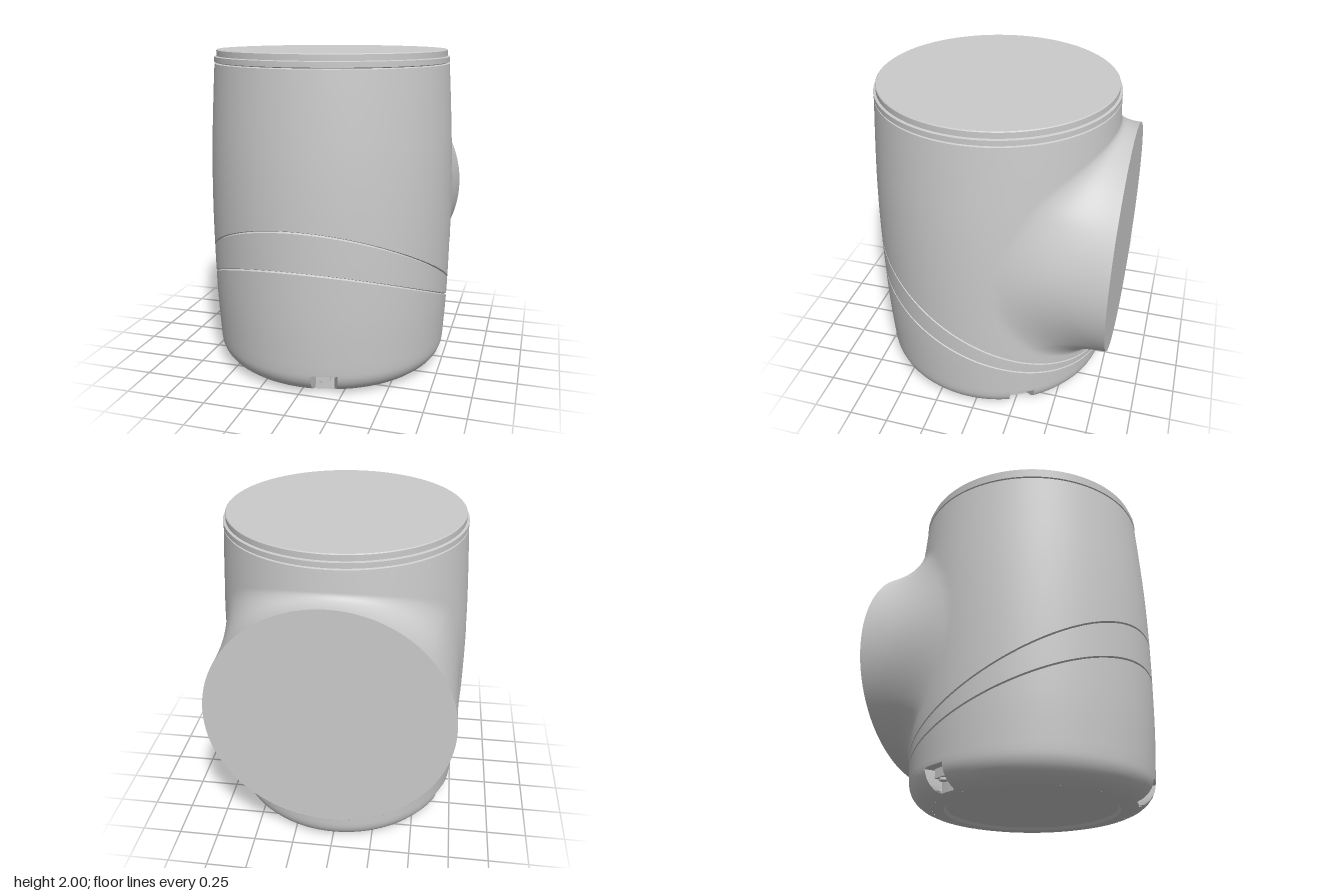
import * as THREE from 'three';
import { toCreasedNormals } from 'three/addons/utils/BufferGeometryUtils.js';

const CZ = 0.032;             // body axis, z
const PORT = { y: 1.01, r: 0.73, z: -0.8 };
const NOTCHES = [12, 118, 247].map(THREE.MathUtils.degToRad);
const lerp = THREE.MathUtils.lerp;
const mat = new THREE.MeshStandardMaterial({ color: 0xcccccc });

// Body radius against height
const lower = [[0, 0.6], [0.008, 0.635], [0.025, 0.672], [0.05, 0.703], [0.08, 0.725], [0.115, 0.739], [0.15, 0.744]];
const upper = new THREE.SplineCurve([[0.15, 0.744], [0.45, 0.761], [0.8, 0.768], [1.1, 0.768], [1.4, 0.76],
  [1.7, 0.743], [1.93, 0.727]].map(p => new THREE.Vector2(...p))).getPoints(60).map(p => [p.x, p.y]);
const profile = [...lower, ...upper.slice(1)];
function bodyR(y) {
  const i = profile.findIndex(p => p[0] >= y);
  if (i < 0) return profile[profile.length - 1][1];
  if (i === 0) return profile[0][1];
  const [a, b] = [profile[i - 1], profile[i]];
  return lerp(a[1], b[1], (y - a[0]) / (b[0] - a[0]));
}

// Closed ring grid: point(angle, row) returns [x, y, z]
function ringGrid(cols, rows, point, crease = 0.5) {
  const pos = [], idx = [];
  for (let j = 0; j < rows; j++)
    for (let i = 0; i < cols; i++) pos.push(...point(i / cols * Math.PI * 2, j));
  for (let j = 0; j < rows - 1; j++)
    for (let i = 0; i < cols; i++) {
      const n = (i + 1) % cols, a = j * cols + i, b = j * cols + n, c = b + cols, d = a + cols;
      idx.push(a, b, c, a, c, d);
    }
  const g = new THREE.BufferGeometry();
  g.setAttribute('position', new THREE.Float32BufferAttribute(pos, 3));
  g.setIndex(idx);
  g.computeVertexNormals();
  return crease ? toCreasedNormals(g, crease) : g;
}

const around = (a, r, y) => [Math.sin(a) * r, y, CZ + Math.cos(a) * r];

// Sloping seams, height against z
const seamZ = a => CZ + Math.cos(a) * 0.765;
const seamLow = a => { const z = seamZ(a); return 0.445 + 0.372 * z + 0.058 * z * z; };
const seamHigh = a => { const z = seamZ(a); return 0.57 + 0.5 * z + 0.078 * z * z; };

// Wall panel between two height functions, with edges turned in to form seam grooves
function panel(lo, hi, steps) {
  const edge = 0.006, depth = 0.014;
  return ringGrid(192, steps + 3, (a, j) => {
    const y0 = lo(a), y1 = hi(a);
    if (j === 0) return around(a, bodyR(y0) - depth, y0);
    if (j === steps + 2) return around(a, bodyR(y1) - depth, y1);
    const y = lerp(y0 + edge, y1 - edge, (j - 1) / steps);
    return around(a, bodyR(y), y);
  });
}

// Base shell with rounded foot and three screw notches
function baseShell() {
  const feet = [0, 0.008, 0.016, 0.025, 0.037, 0.05, 0.065, 0.08, 0.1, 0.118, 0.134, 0.14, 0.15];
  const steps = 10;
  return ringGrid(288, feet.length + steps + 1, (a, j) => {
    if (j < feet.length) {
      const y = feet[j];
      const cut = y < 0.137 && NOTCHES.some(n => Math.abs(Math.atan2(Math.sin(a - n), Math.cos(a - n))) < 0.1);
      return around(a, cut ? Math.min(bodyR(y), 0.635) : bodyR(y), y);
    }
    const top = seamLow(a);
    if (j === feet.length + steps) return around(a, bodyR(top) - 0.014, top);
    const y = lerp(0.15, top - 0.006, (j - feet.length + 1) / steps);
    return around(a, bodyR(y), y);
  });
}

// Back port: straight tube flowing through a fillet into the body
function portNeck() {
  const steps = 18;
  return ringGrid(144, steps + 2, (t, j) => {
    const c = Math.cos(t), s = Math.sin(t);
    const x = c * PORT.r, y = PORT.y + s * PORT.r, R = bodyR(y);
    if (j === 0) return [x, y, PORT.z];
    const zc = CZ - Math.sqrt(R * R - x * x);
    const L = Math.min(zc - PORT.z, 0.35);
    const reach = L * (s < 0 ? lerp(0.75, 0.35, -s) : lerp(0.75, 0.65, s));
    const y2 = y + s * reach, R2 = bodyR(y2), phi = Math.asin(x / R) + c * reach / R;
    const curve = new THREE.QuadraticBezierCurve3(
      new THREE.Vector3(x, y, zc - L - 0.0005),
      new THREE.Vector3(x, y, zc),
      new THREE.Vector3(Math.sin(phi) * R2, y2, CZ - Math.cos(phi) * R2));
    const p = curve.getPoint((j - 1) / steps);
    // Keep the blend just outside the body wall
    const r = Math.hypot(p.x, p.z - CZ), k = Math.max(1, (bodyR(p.y) + 0.0015) / r);
    return [p.x * k, p.y, CZ + (p.z - CZ) * k];
  }, 0);
}

export function createModel() {
  const group = new THREE.Group();
  const add = (name, geo, x = 0, y = 0, z = 0) => {
    const m = new THREE.Mesh(geo, mat);
    m.name = name;
    m.position.set(x, y, z);
    group.add(m);
    return m;
  };
  const lathe = pts => toCreasedNormals(new THREE.LatheGeometry(pts.map(p => new THREE.Vector2(...p)), 128), 0.5);

  // Main walls
  add('baseShell', baseShell());
  add('slopingBand', panel(seamLow, seamHigh, 10));
  add('upperBody', panel(seamHigh, () => 1.922, 36));

  // Stepped collar and closed top
  add('topCollar', lathe([[0.713, 1.92], [0.729, 1.926], [0.729, 1.957], [0.714, 1.961], [0.714, 1.995],
    [0.709, 2], [0, 2]]), 0, 0, CZ);

  // Underside with shallow recessed plate
  add('underside', lathe([[0, 0.016], [0.515, 0.016], [0.53, 0], [0.6, 0]]), 0, 0, CZ);

  // Back port
  add('portNeck', portNeck());
  add('portFace', new THREE.CircleGeometry(PORT.r, 144), 0, PORT.y, PORT.z).rotation.y = Math.PI;

  // Screw bosses inside the foot notches
  for (const a of NOTCHES) {
    const boss = new THREE.Group();
    boss.name = 'notchScrew';
    boss.position.set(Math.sin(a) * 0.655, 0, CZ + Math.cos(a) * 0.655);
    boss.rotation.y = a;
    const block = new THREE.Mesh(new THREE.BoxGeometry(0.085, 0.055, 0.07), mat);
    block.name = 'screwSeat';
    block.position.y = 0.11;
    const screw = new THREE.Mesh(new THREE.CylinderGeometry(0.028, 0.028, 0.02, 20), mat);
    screw.name = 'screwHead';
    screw.position.y = 0.078;
    boss.add(block, screw);
    group.add(boss);
  }
  return group;
}
